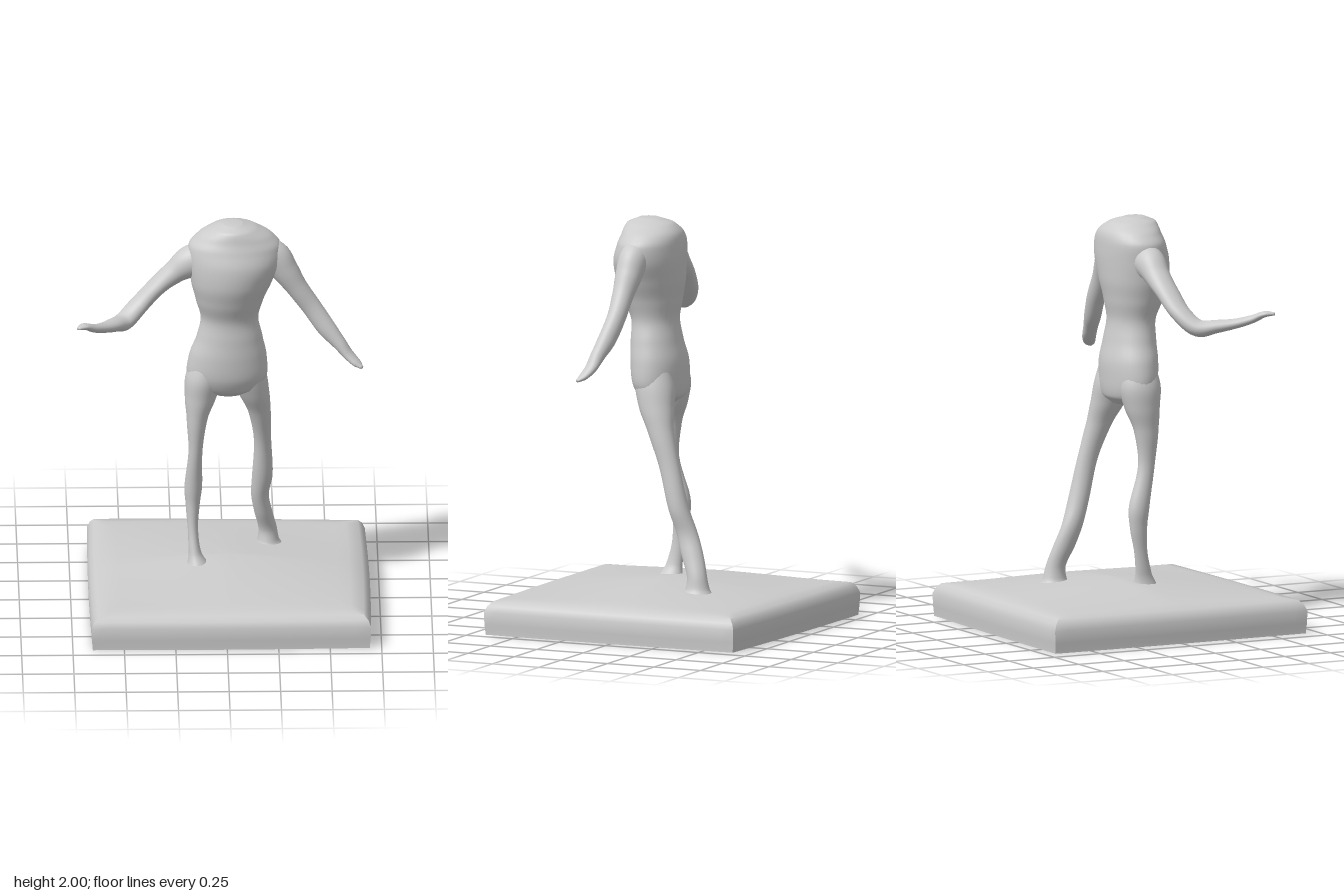
import * as THREE from 'three';
import { toCreasedNormals } from 'three/addons/utils/BufferGeometryUtils.js';

const material = new THREE.MeshStandardMaterial({ color: 0xcccccc });

// Skin a list of rings (arrays of Vector3), closed around and pinched at both ends
function skin(rings) {
  const n = rings[0].length;
  const centre = (r) => r.reduce((s, p) => s.add(p), new THREE.Vector3()).divideScalar(n);
  const all = [rings[0].map(() => centre(rings[0])), ...rings, rings[0].map(() => centre(rings.at(-1)))];
  const index = [];
  for (let i = 0; i < all.length - 1; i++) {
    for (let j = 0; j < n; j++) {
      const a = i * n + j, b = i * n + (j + 1) % n;
      index.push(a, b, b + n, a, b + n, a + n);
    }
  }
  const geo = new THREE.BufferGeometry().setFromPoints(all.flat());
  geo.setIndex(index);
  geo.computeVertexNormals();
  return geo;
}

// Loft ellipses [x, y, z, halfWidth, halfDepth] along a smooth path.
// upright: rings stay horizontal (listed top to bottom); otherwise they follow the path.
function loft(sections, upright, steps = 6, sides = 32) {
  const path = new THREE.CatmullRomCurve3(sections.map((s) => new THREE.Vector3(s[0], s[1], s[2])), false, 'centripetal');
  const size = new THREE.CatmullRomCurve3(sections.map((s) => new THREE.Vector3(s[3], s[4], 0)), false, 'catmullrom', 0.4);
  const count = (sections.length - 1) * steps;
  const up = new THREE.Vector3(0, 1, 0);
  const rings = [];
  for (let i = 0; i <= count; i++) {
    const c = path.getPoint(i / count), r = size.getPoint(i / count);
    const t = path.getTangent(i / count);
    const u = upright ? new THREE.Vector3(1, 0, 0) : t.clone().cross(up).normalize();
    const v = upright ? new THREE.Vector3(0, 0, 1) : t.clone().cross(u);
    rings.push(Array.from({ length: sides }, (_, j) => {
      const a = j / sides * Math.PI * 2;
      return c.clone()
        .addScaledVector(u, Math.cos(a) * Math.max(r.x, 0.002))
        .addScaledVector(v, Math.sin(a) * Math.max(r.y, 0.002));
    }));
  }
  return skin(rings);
}

// Square slab with rounded rim, uneven outline and a gently raised top
function plinth() {
  const per = 20;
  const corners = [[0.69, -0.66], [0.70, 0.68], [-0.66, 0.69], [-0.66, -0.70]];
  const outline = [];
  corners.forEach(([x, z], k) => {
    const [x2, z2] = corners[(k + 1) % 4];
    for (let j = 0; j < per; j++) {
      const f = j / per, bow = 0.012 * Math.sin(f * Math.PI);
      const px = x + (x2 - x) * f, pz = z + (z2 - z) * f;
      outline.push([px * (1 + bow), pz * (1 + bow)]);
    }
  });
  const mound = (x, z) => 0.168 + 0.066 *
    Math.max(0, 1 - Math.abs(x / 0.68) ** 1.5) * Math.max(0, 1 - Math.abs(z / 0.68) ** 1.2);
  const ring = (s, y) => outline.map(([x, z]) => new THREE.Vector3(x * s, y ?? mound(x * s, z * s), z * s));
  const rings = [];
  for (let s = 0.06; s < 0.93; s += 0.08) rings.push(ring(s));
  rings.push(ring(0.95, 0.162), ring(0.98, 0.14), ring(0.998, 0.11), ring(0.995, 0.05), ring(0.99, 0.015), ring(0.99, 0));
  return toCreasedNormals(skin(rings), 0.7);
}

export function createModel() {
  const model = new THREE.Group();
  const add = (name, geometry) => {
    const mesh = new THREE.Mesh(geometry, material);
    mesh.name = name;
    model.add(mesh);
  };

  add('base', plinth());

  // Headless torso from the neck stump down to the crotch
  add('torso', loft([
    [0.035, 2.0, 0.105, 0.045, 0.05],
    [0.04, 1.975, 0.095, 0.115, 0.115],
    [0.045, 1.93, 0.082, 0.185, 0.142],
    [0.045, 1.88, 0.085, 0.225, 0.155],
    [0.045, 1.8, 0.095, 0.225, 0.167],
    [0.03, 1.7, 0.097, 0.198, 0.163],
    [0.02, 1.6, 0.09, 0.165, 0.14],
    [0.02, 1.5, 0.078, 0.14, 0.113],
    [0.02, 1.4, 0.07, 0.16, 0.12],
    [0.012, 1.3, 0.06, 0.188, 0.13],
    [0.008, 1.2, 0.055, 0.196, 0.125],
    [0.008, 1.13, 0.045, 0.165, 0.105],
    [0.015, 1.09, 0.04, 0.075, 0.055],
  ], true));

  // Right leg stands forward
  add('rightLeg', loft([
    [-0.09, 1.28, 0.06, 0.07, 0.09],
    [-0.105, 1.18, 0.06, 0.09, 0.105],
    [-0.12, 1.08, 0.065, 0.077, 0.088],
    [-0.137, 0.97, 0.078, 0.051, 0.062],
    [-0.145, 0.8, 0.075, 0.034, 0.042],
    [-0.155, 0.6, 0.03, 0.043, 0.052],
    [-0.158, 0.5, 0.025, 0.034, 0.044],
    [-0.157, 0.38, 0.038, 0.025, 0.034],
    [-0.148, 0.27, 0.058, 0.03, 0.042],
    [-0.135, 0.215, 0.07, 0.05, 0.062],
    [-0.13, 0.18, 0.07, 0.085, 0.1],
  ], true));

  // Left leg trails behind
  add('leftLeg', loft([
    [0.11, 1.28, 0.05, 0.07, 0.09],
    [0.115, 1.18, 0.035, 0.088, 0.1],
    [0.14, 1.08, 0.015, 0.075, 0.088],
    [0.167, 0.97, -0.02, 0.055, 0.066],
    [0.183, 0.8, -0.075, 0.042, 0.052],
    [0.183, 0.6, -0.125, 0.05, 0.052],
    [0.172, 0.48, -0.165, 0.043, 0.054],
    [0.188, 0.38, -0.2, 0.044, 0.056],
    [0.21, 0.28, -0.235, 0.045, 0.05],
    [0.213, 0.22, -0.24, 0.053, 0.06],
    [0.215, 0.18, -0.24, 0.08, 0.085],
  ], true));

  // Right arm: bent at the elbow, hand reaching forward
  add('rightArm', loft([
    [-0.07, 1.82, 0.085, 0.075, 0.08],
    [-0.17, 1.79, 0.085, 0.075, 0.08],
    [-0.25, 1.735, 0.085, 0.064, 0.056],
    [-0.33, 1.67, 0.095, 0.06, 0.044],
    [-0.42, 1.58, 0.12, 0.056, 0.042],
    [-0.495, 1.515, 0.175, 0.052, 0.042],
    [-0.545, 1.525, 0.25, 0.045, 0.032],
    [-0.6, 1.542, 0.33, 0.036, 0.024],
    [-0.645, 1.565, 0.395, 0.03, 0.02],
    [-0.69, 1.592, 0.44, 0.028, 0.015],
    [-0.72, 1.594, 0.475, 0.01, 0.007],
  ], false));

  // Left arm: held out and down
  add('leftArm', loft([
    [0.15, 1.87, 0.09, 0.07, 0.06],
    [0.235, 1.82, 0.092, 0.072, 0.078],
    [0.29, 1.745, 0.095, 0.065, 0.066],
    [0.35, 1.655, 0.098, 0.052, 0.052],
    [0.42, 1.555, 0.1, 0.045, 0.048],
    [0.49, 1.455, 0.118, 0.042, 0.046],
    [0.55, 1.385, 0.138, 0.036, 0.034],
    [0.595, 1.33, 0.153, 0.034, 0.024],
    [0.635, 1.293, 0.175, 0.028, 0.017],
    [0.662, 1.274, 0.195, 0.01, 0.007],
  ], false));

  return model;
}
